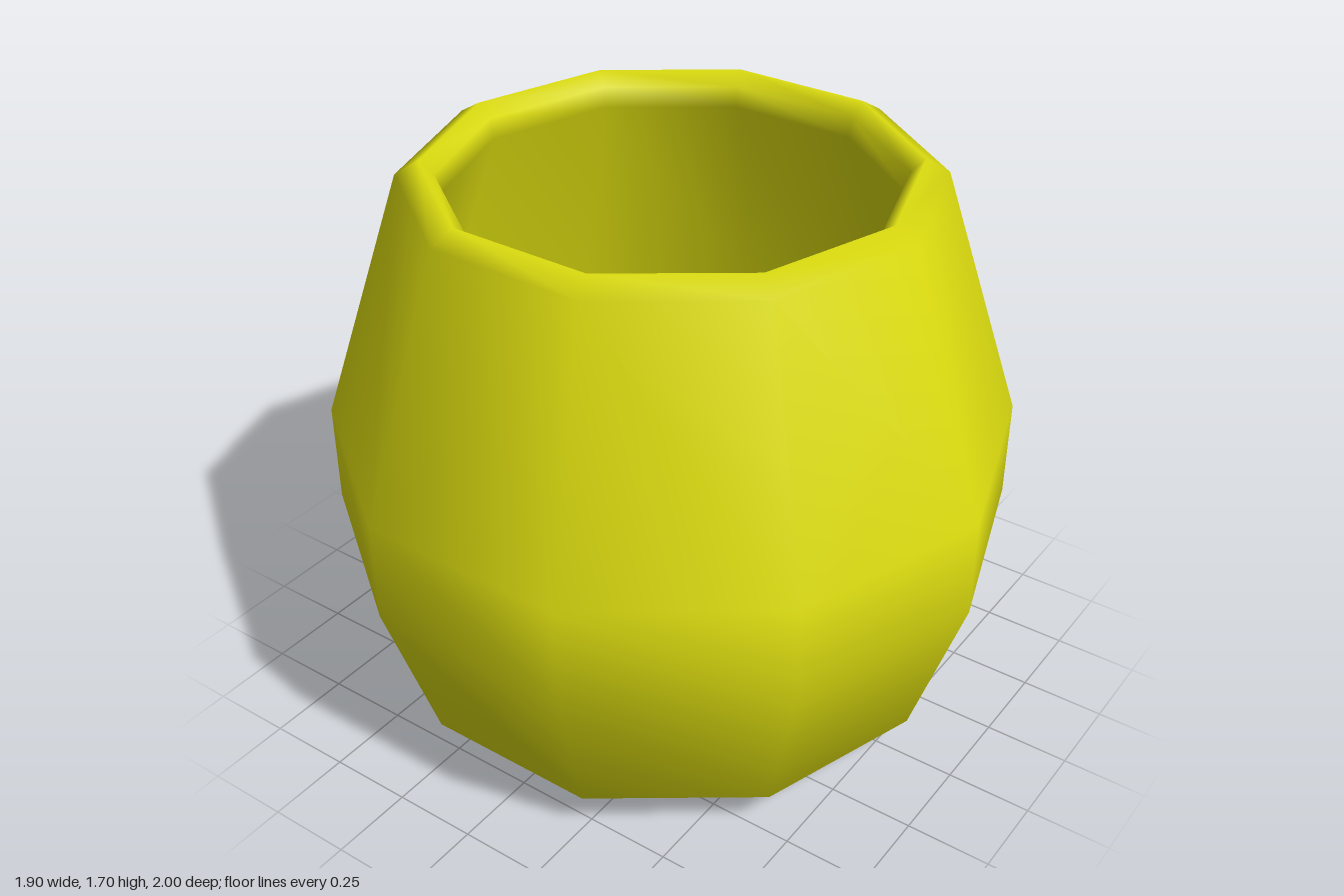
import * as THREE from 'three';

export function createModel() {
  const group = new THREE.Group();
  group.name = 'pot';

  const yellow = new THREE.MeshStandardMaterial({ color: 0xdede10 });
  yellow.name = 'yellow';

  // Smooth ten-sided shell turned from a [radius, height] profile
  const addShell = (name, profile) => {
    const points = profile.map(([r, y]) => new THREE.Vector2(r, y));
    const mesh = new THREE.Mesh(new THREE.LatheGeometry(points, 10), yellow);
    mesh.name = name;
    group.add(mesh);
  };

  // Base, bulging wall, rounded rim and hollow inside as one closed profile
  addShell('potBody', [
    [0, 0], [0.63, 0], [0.845, 0.13], [1, 0.61], [1, 0.91], // underside and belly
    [0.752, 1.66], [0.685, 1.7], [0.645, 1.66],             // shoulder and rim
    [0.635, 1.6], [0.9, 0.89], [0.9, 0.63],                 // inner wall
    [0.77, 0.21], [0.59, 0.1], [0, 0.1],                    // inner floor
  ]);

  return group;
}
